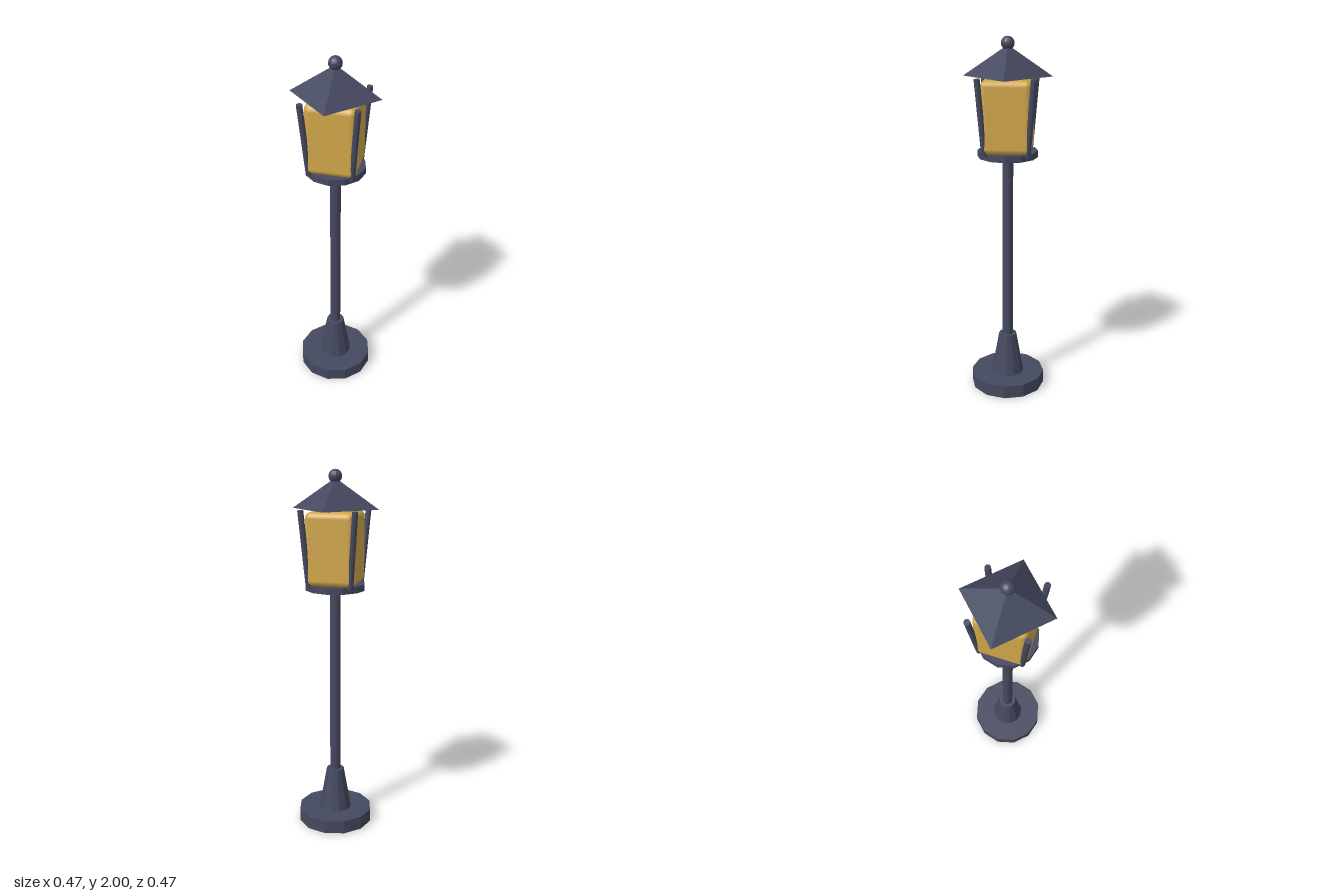
import * as THREE from 'three';
import { RoundedBoxGeometry } from 'three/addons/geometries/RoundedBoxGeometry.js';

export function createModel() {
  const lamp = new THREE.Group();
  lamp.name = 'streetLamp';
  const metal = new THREE.MeshStandardMaterial({ color: 0x45495f, flatShading: true });
  metal.name = 'dark metal';
  const amber = new THREE.MeshStandardMaterial({ color: 0xd2a74b });
  amber.name = 'amber glass';

  const add = (name, geometry, material) => {
    const mesh = new THREE.Mesh(geometry, material);
    mesh.name = name;
    lamp.add(mesh);
    return mesh;
  };
  // Upright frustum between two heights
  const column = (name, rTop, rBottom, y0, y1, sides) => {
    const mesh = add(name, new THREE.CylinderGeometry(rTop, rBottom, y1 - y0, sides), metal);
    mesh.position.y = (y0 + y1) / 2;
    return mesh;
  };

  // Foot and post
  column('base', 0.21, 0.21, 0, 0.075, 12);
  column('postFoot', 0.05, 0.092, 0.075, 0.313, 12);
  column('post', 0.03, 0.03, 0.31, 1.37, 12);

  // Lantern
  column('lanternTray', 0.164, 0.164, 1.365, 1.4, 12);
  const glass = add('lanternGlass', new RoundedBoxGeometry(0.27, 0.39, 0.27, 2, 0.033), amber);
  glass.position.y = 1.59;

  // Four corner bars leaning outwards
  const up = new THREE.Vector3(0, 1, 0);
  for (const sx of [-1, 1]) {
    for (const sz of [-1, 1]) {
      const low = new THREE.Vector3(0.114 * sx, 1.385, 0.114 * sz);
      const high = new THREE.Vector3(0.146 * sx, 1.795, 0.146 * sz);
      const axis = high.clone().sub(low);
      const bar = add('cornerBar', new THREE.CylinderGeometry(0.016, 0.016, axis.length(), 12), metal);
      bar.position.copy(low).add(high).multiplyScalar(0.5);
      bar.quaternion.setFromUnitVectors(up, axis.normalize());
    }
  }

  // Pyramid roof with its corners on the axes, and a ball on top
  const roof = add('roof', new THREE.ConeGeometry(0.237, 0.16, 4), metal);
  roof.position.y = 1.875;
  const finial = add('finial', new THREE.SphereGeometry(0.036, 16, 12), metal);
  finial.position.y = 1.964;

  return lamp;
}
